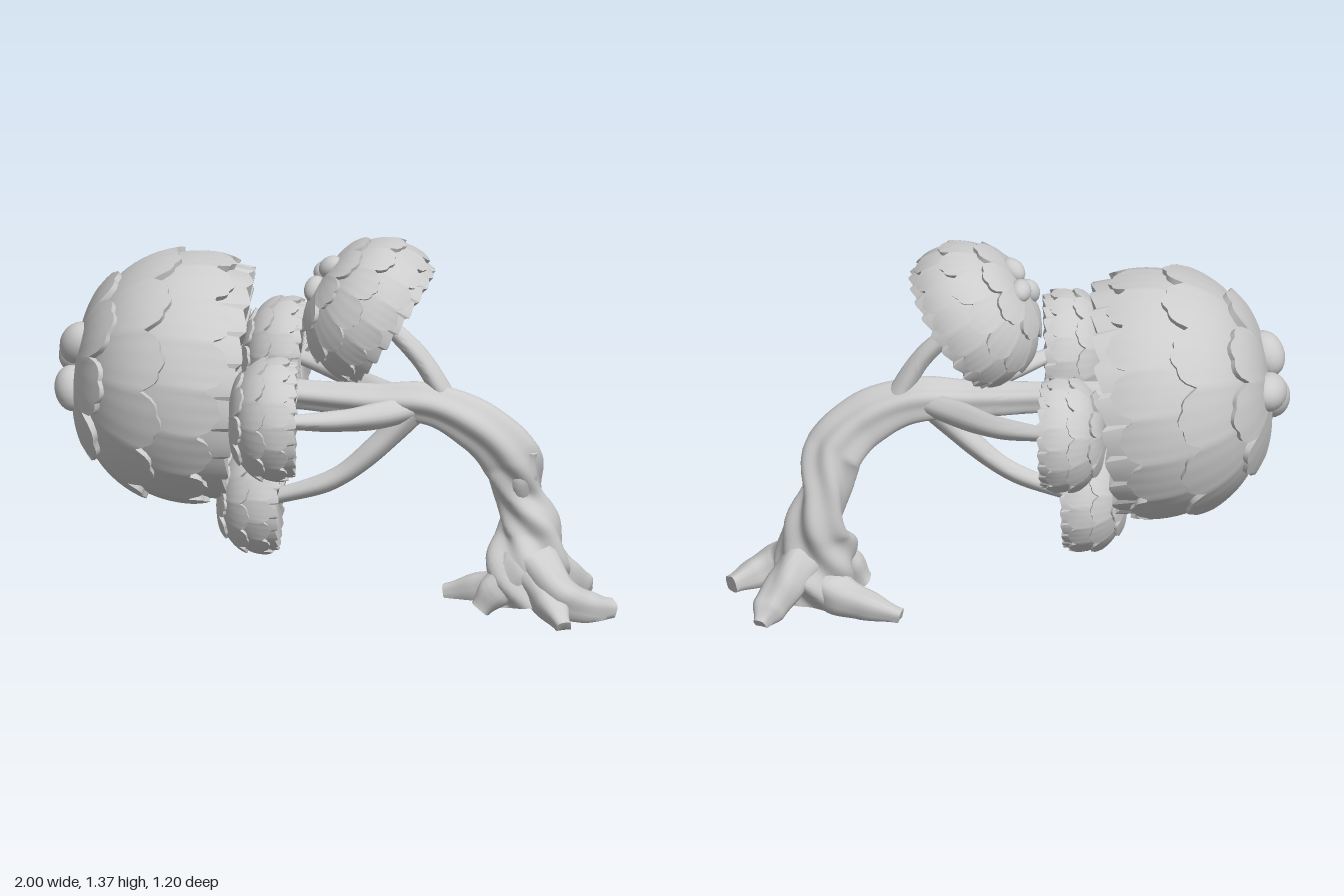
import * as THREE from 'three';
import { toCreasedNormals } from 'three/addons/utils/BufferGeometryUtils.js';

const stone = new THREE.MeshStandardMaterial({ color: 0xcccccc });
stone.name = 'stone grey';

// Closed rings of vertices joined into a skin; f(ring, angle) gives a point
function skin(rings, sides, f, crease = 0.6) {
  const pos = [], index = [];
  for (let i = 0; i <= rings; i++) {
    for (let j = 0; j < sides; j++) {
      pos.push(...f(i, (j / sides) * Math.PI * 2));
      if (i === rings) continue;
      const k = (j + 1) % sides, a = i * sides + j, b = i * sides + k;
      index.push(a, b, a + sides, b, b + sides, a + sides);
    }
  }
  const g = new THREE.BufferGeometry();
  g.setAttribute('position', new THREE.Float32BufferAttribute(pos, 3));
  g.setIndex(index);
  return toCreasedNormals(g, crease);
}

function add(parent, name, geometry) {
  const m = new THREE.Mesh(geometry, stone);
  m.name = name;
  parent.add(m);
  return m;
}

// Woody limb through [x, y, z, radius] points, with ridges that can twist
function limb(pts, { rings = 24, sides = 20, lobes = 4, depth = 0.06, twist = 0 } = {}) {
  const curve = new THREE.CatmullRomCurve3(pts.map(p => new THREE.Vector3(p[0], p[1], p[2])));
  const radius = t => {
    const s = t * (pts.length - 1), i = Math.min(Math.floor(s), pts.length - 2), k = s - i;
    const e = k * k * (3 - 2 * k);
    return pts[i][3] * (1 - e) + pts[i + 1][3] * e;
  };
  const first = pts[0], last = pts[pts.length - 1];
  const flat = Math.abs(last[2] - first[2]) < 0.08;
  const ref = flat ? new THREE.Vector3(0, 0, 1) : new THREE.Vector3(0, 1, 0);
  return skin(rings + 2, sides, (i, a) => {
    const t = THREE.MathUtils.clamp((i - 1) / rings, 0, 1);
    const c = curve.getPoint(t), T = curve.getTangent(t);
    const N = ref.clone().addScaledVector(T, -ref.dot(T)).normalize();
    const B = T.clone().cross(N);
    const turn = twist * Math.min(t, 0.45);
    let r = radius(t) * (1 + depth * Math.cos(lobes * (a + turn)) + depth * 0.8 * Math.sin(2 * (a + turn * 1.3) + 5 * t));
    if (i === 0 || i === rings + 2) r = 0;
    c.addScaledVector(N, r * Math.cos(a)).addScaledVector(B, r * Math.sin(a));
    return [c.x, Math.max(c.y, 0), c.z];
  }, 0.8);
}

// Crown: overlapping scalloped layers over a dome, pleated underside, optional buds
function crown(name, base, dir, R, D, counts, buds) {
  const g = new THREE.Group();
  g.name = name;
  g.position.set(...base);
  g.quaternion.setFromUnitVectors(new THREE.Vector3(0, 1, 0), new THREE.Vector3(...dir).normalize());
  const dome = (u, off, a) => {
    const s = Math.pow(Math.max(Math.sin(u), 0), 0.82);
    const r = R * s + off * Math.sin(u);
    return [r * Math.cos(a), D * (0.36 + 0.64 * Math.cos(u)) + off * Math.cos(u), r * Math.sin(a)];
  };
  const thick = 0.06 * R + 0.007;
  const starts = [0, 0.45, 1.05], ends = [0.82, 1.4, 1.93];
  counts.forEach((n, k) => {
    const rings = 11;
    const edge = a => {
      const p = a + k * 0.4;
      const lobe = 0.85 * Math.pow(Math.abs(Math.cos(n * p / 2)), 0.6) + 0.15 * Math.abs(Math.cos(n * p * 1.5));
      return ends[k] - 0.24 * (1 - lobe) + 0.03 * Math.sin(3 * p + k);
    };
    add(g, 'leafLayer', skin(rings + 2, n * 12, (i, a) => {
      const e = edge(a), t = Math.min(i / rings, 1);
      const u = starts[k] + (e - starts[k]) * t;
      if (i === rings + 1) return dome(e, 0, a);             // edge thickness
      if (i === rings + 2) return dome(e - 0.25, -0.01, a);  // tucked-in lip
      return dome(u, thick * (k === 0 ? 0.4 + 0.6 * t : t), a);
    }));
  });
  // Pleated skirt below the leaves, closing into a slightly hollow underside
  const pleats = 22, rim = dome(2.03, 0.05 * R, 0);
  add(g, 'pleatedUnderside', skin(8, pleats * 6, (i, a) => {
    if (i === 0) return dome(1.4, -0.002, a);
    if (i === 1) return dome(1.7, 0.004, a);
    const t = (i - 2) / 6, saw = ((a * pleats) / (Math.PI * 2) + 1e-6) % 1;
    const pleat = R * (saw < 0.8 ? saw / 0.8 : (1 - saw) / 0.2) * Math.sqrt(1 - t);
    const r = (rim[0] + 0.02 * pleat) * (1 - t);
    const h = rim[1] + D * 0.05 * t - 0.06 * pleat;
    return [r * Math.cos(a), h, r * Math.sin(a)];
  }, 0.4));
  // Three buds on the apex
  for (let i = 0; buds && i < 3; i++) {
    const a = (i / 3) * Math.PI * 2 + 0.5;
    const b = add(g, 'bud', new THREE.SphereGeometry(buds, 18, 12));
    b.scale.set(1, 0.75, 0.8);
    b.position.set(Math.cos(a) * buds * 1.15, D + thick * 0.4, Math.sin(a) * buds * 1.15);
    b.rotation.set(0, -a, -0.25);
  }
  return g;
}

export function createModel() {
  const model = new THREE.Group();
  model.name = 'bentTree';

  // Leaning, twisted trunk
  add(model, 'trunk', limb([
    [0.69, 0.03, -0.01, 0.13], [0.68, 0.15, -0.03, 0.14], [0.685, 0.29, -0.06, 0.108],
    [0.65, 0.43, -0.06, 0.086], [0.615, 0.57, -0.02, 0.096], [0.51, 0.685, 0.01, 0.088],
    [0.34, 0.765, 0.01, 0.074], [0.12, 0.775, 0.01, 0.062], [-0.12, 0.79, 0, 0.054], [-0.5, 0.82, -0.03, 0.05],
  ], { rings: 80, sides: 40, lobes: 5, depth: 0.1, twist: 8 }));
  add(model, 'barkRidge', limb([
    [0.65, 0.42, -0.04, 0.05], [0.66, 0.5, -0.01, 0.055], [0.695, 0.6, 0.01, 0.022],
  ]));

  // Spreading roots
  const roots = [
    [[0.68, 0.13, -0.06, 0.08], [0.61, 0.07, -0.12, 0.068], [0.5, 0.045, -0.17, 0.055], [0.375, 0.015, -0.2, 0.03]],
    [[0.71, 0.2, -0.08, 0.075], [0.78, 0.12, -0.15, 0.07], [0.84, 0.05, -0.22, 0.055], [0.87, 0.01, -0.28, 0.025]],
    [[0.71, 0.2, 0.02, 0.08], [0.81, 0.09, 0.1, 0.07], [0.9, 0.05, 0.08, 0.055], [0.985, 0.03, 0.02, 0.035]],
    [[0.7, 0.16, 0.03, 0.08], [0.77, 0.08, 0.11, 0.065], [0.83, 0.01, 0.22, 0.03]],
    [[0.66, 0.17, 0.02, 0.085], [0.58, 0.1, 0.05, 0.065], [0.52, 0.03, 0.06, 0.04]],
  ];
  for (const r of roots) add(model, 'root', limb(r, { depth: 0.08, twist: 1.5 }));

  // Branches to the smaller crowns
  const branches = [
    [[0.42, 0.73, 0, 0.04], [0.37, 0.83, 0.01, 0.038], [0.3, 0.94, 0.01, 0.034], [0.18, 1.06, 0, 0.028]],
    [[0.27, 0.755, 0.02, 0.045], [0.16, 0.75, 0.12, 0.045], [0.03, 0.765, 0.25, 0.038], [-0.17, 0.795, 0.39, 0.026]],
    [[0.27, 0.76, -0.02, 0.045], [0.16, 0.765, -0.12, 0.045], [0.03, 0.785, -0.26, 0.038], [-0.18, 0.82, -0.4, 0.026]],
    [[0.27, 0.74, 0.02, 0.05], [0.16, 0.62, 0.03, 0.042], [0, 0.49, 0.03, 0.034], [-0.24, 0.405, 0.01, 0.026]],
  ];
  for (const b of branches) add(model, 'branch', limb(b));

  // Crowns
  model.add(
    crown('mainCrown', [-0.325, 0.81, -0.05], [-0.99, 0.12, 0.03], 0.425, 0.59, [8, 12, 16], 0.085),
    crown('upperCrown', [0.22, 1.045, 0], [-0.82, 0.57, 0], 0.252, 0.31, [8, 13, 18], 0.05),
    crown('leftCrown', [-0.105, 0.8, 0.37], [-1, 0.02, 0.06], 0.207, 0.235, [8, 12, 16], 0),
    crown('rightCrown', [-0.13, 0.82, -0.39], [-1, 0.03, -0.05], 0.192, 0.22, [8, 12, 16], 0),
    crown('lowerCrown', [-0.185, 0.405, 0.005], [-1, 0.04, 0], 0.188, 0.225, [8, 12, 16], 0),
  );
  return model;
}
